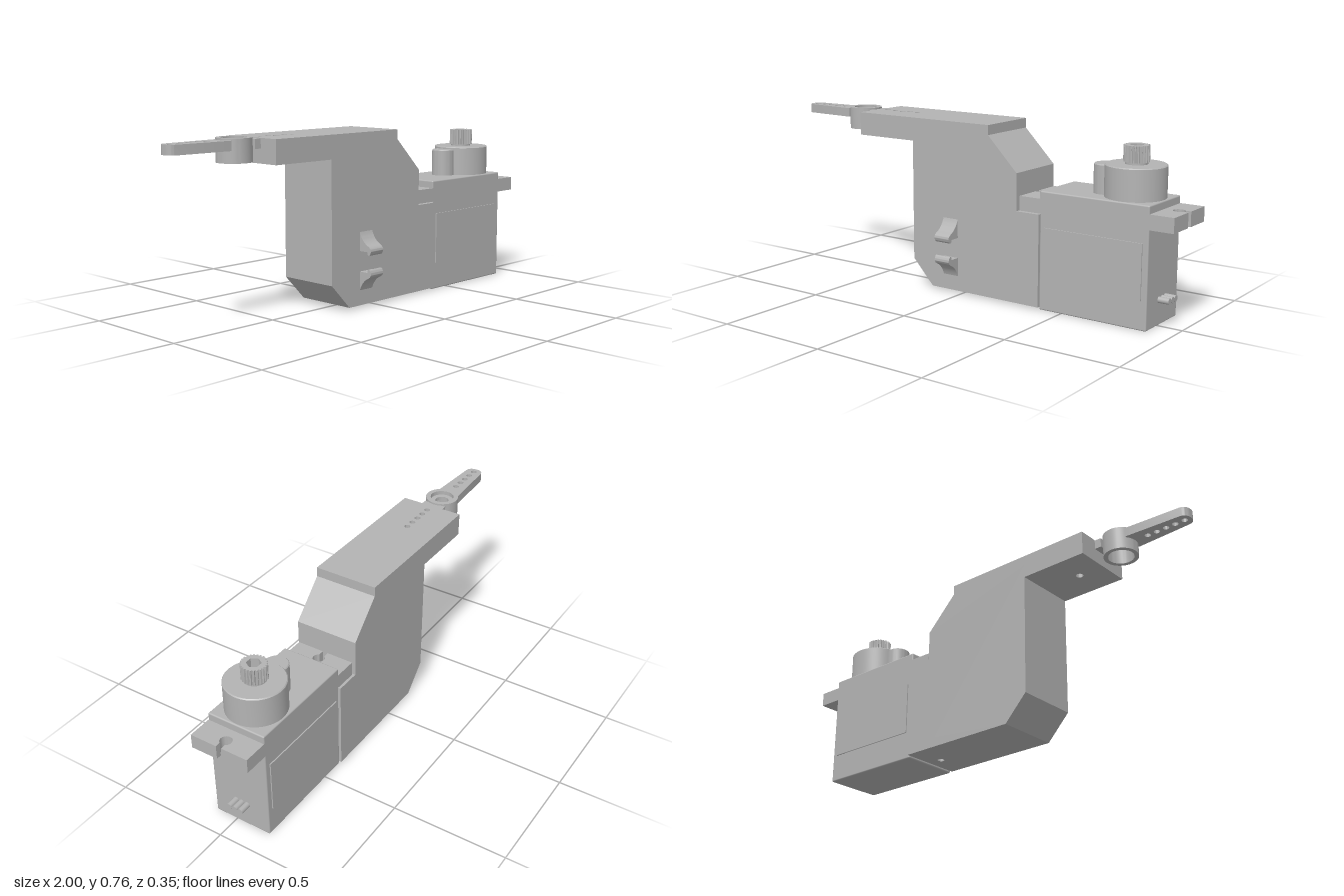
import * as THREE from 'three';
import { toCreasedNormals } from 'three/addons/utils/BufferGeometryUtils.js';
import { RoundedBoxGeometry } from 'three/addons/geometries/RoundedBoxGeometry.js';

export function createModel() {
  const root = new THREE.Group();
  const body = new THREE.Group(); // built symmetric about z = 0, then shifted
  body.name = 'servoAssembly';
  body.position.z = -0.031;
  root.add(body);
  const grey = new THREE.MeshStandardMaterial({ color: 0xb3b3b3 });
  grey.name = 'grey plastic';

  const add = (name, geo, parent = body) => {
    const mesh = new THREE.Mesh(geo, grey);
    mesh.name = name;
    parent.add(mesh);
    return mesh;
  };
  const poly = (pts) => new THREE.Shape(pts.map(([x, y]) => new THREE.Vector2(x, y)));
  const rect = (x0, x1, half) => poly([[x0, -half], [x1, -half], [x1, half], [x0, half]]);
  const drill = (shape, x, r) => {
    shape.holes.push(new THREE.Path().absarc(x, 0, r, 0, Math.PI * 2, true));
    return shape;
  };
  // plan outline raised from y0 to y1
  const slab = (name, shape, y0, y1) => {
    const g = new THREE.ExtrudeGeometry(shape, { depth: y1 - y0, bevelEnabled: false, curveSegments: 20 });
    g.rotateX(-Math.PI / 2).translate(0, y0, 0);
    return add(name, toCreasedNormals(g, 0.6));
  };
  const lathe = (name, pts, x, seg = 48) => {
    const g = new THREE.LatheGeometry(pts.map(([r, y]) => new THREE.Vector2(r, y)), seg);
    return add(name, toCreasedNormals(g.translate(x, 0, 0), 0.6));
  };

  // bracket: side profile plus drilled plates
  const W = 0.141;
  const profile = poly([
    [-0.265, 0.71], [-0.265, 0.12], [-0.16, 0.01], [0.24, 0.01], [0.24, 0.05], [0.395, 0.05],
    [0.395, 0.405], [0.285, 0.405], [0.285, 0.565], [0.14, 0.71],
  ]);
  add('bracketBody', new THREE.ExtrudeGeometry(profile, { depth: 2 * W, bevelEnabled: false }).translate(0, 0, -W));
  slab('bracketFoot', drill(rect(0.24, 0.395, W), 0.33, 0.015), 0.01, 0.05);
  slab('bracketArm', drill(rect(-0.57, -0.265, W), -0.45, 0.016), 0.65, 0.71);
  const top = rect(-0.57, 0.14, W);
  for (let i = 0; i < 5; i++) drill(top, -0.527 + i * 0.0435, 0.013);
  slab('bracketTop', top, 0.71, 0.752);

  // servo horn
  const horn = new THREE.Shape();
  horn.moveTo(-0.72, 0.052);
  horn.lineTo(-0.97, 0.038);
  horn.quadraticCurveTo(-1, 0.034, -1, 0);
  horn.quadraticCurveTo(-1, -0.034, -0.97, -0.038);
  horn.lineTo(-0.72, -0.052);
  for (let i = 0; i < 5; i++) drill(horn, -0.97 + i * 0.0435, 0.013);
  slab('hornArm', horn, 0.71, 0.75);
  slab('hornRoot', rect(-0.6, -0.57, 0.052), 0.71, 0.75);
  lathe('hornHub', [
    [0.03, 0.725], [0.055, 0.725], [0.055, 0.66], [0.073, 0.66], [0.073, 0.758],
    [0.052, 0.758], [0.052, 0.74], [0.03, 0.74], [0.03, 0.725],
  ], -0.663);

  // servo case with raised side labels
  const S = 0.1315;
  add('servoCase', new RoundedBoxGeometry(0.497, 0.503, 2 * S, 2, 0.006).translate(0.6435, 0.2515, 0));
  for (const s of [-1, 1]) {
    add('sideLabel', new THREE.BoxGeometry(0.45, 0.23, 0.005).translate(0.642, 0.237, s * (S + 0.0025)));
  }

  // mounting tabs, each with a keyhole slot open at its outer end
  const tab = (inner, outer, hole) => {
    const d = Math.sign(outer - inner), r = 0.025, w = 0.012;
    const a = Math.asin(w / r);
    const pts = [[inner, S], [outer, S], [outer, w]];
    for (let i = 0; i <= 20; i++) {
      const t = a + (i / 20) * (2 * Math.PI - 2 * a);
      pts.push([hole + d * r * Math.cos(t), r * Math.sin(t)]);
    }
    pts.push([outer, -w], [outer, -S], [inner, -S]);
    slab('mountingTab', poly(pts), 0.408, 0.47);
  };
  tab(0.41, 0.295, 0.343);
  tab(0.88, 0.997, 0.952);

  // gear housing and output shaft
  lathe('gearHousing', [[0, 0.5], [0.125, 0.5], [0.125, 0.631], [0.121, 0.635], [0, 0.635]], 0.76, 64);
  lathe('idlerHousing', [[0, 0.5], [0.052, 0.5], [0.052, 0.621], [0.048, 0.625], [0, 0.625]], 0.627);
  lathe('shaftNeck', [[0, 0.63], [0.046, 0.63], [0.046, 0.65], [0, 0.65]], 0.76);
  const teeth = [], N = 24;
  for (let i = 0; i < N; i++) {
    [[0, 0.047], [0.25, 0.053], [0.55, 0.053], [0.8, 0.047]].forEach(([f, r]) => {
      const t = ((i + f) / N) * Math.PI * 2;
      teeth.push([0.76 + r * Math.cos(t), r * Math.sin(t)]);
    });
  }
  const spline = poly(teeth);
  const hex = [];
  for (let i = 0; i < 6; i++) {
    const t = (-i * Math.PI) / 3;
    hex.push(new THREE.Vector2(0.76 + 0.03 * Math.cos(t), 0.03 * Math.sin(t)));
  }
  spline.holes.push(new THREE.Path(hex));
  slab('outputSpline', spline, 0.643, 0.711);

  // three wire ends
  for (const z of [-0.027, 0, 0.027]) {
    add('wire', new THREE.CylinderGeometry(0.013, 0.013, 0.06, 20).rotateZ(Math.PI / 2).translate(0.91, 0.107, z));
  }

  // pair of facing cable hooks on the front
  for (const s of [1, -1]) {
    const y = (v) => 0.2025 + s * v;
    const hook = new THREE.Shape();
    hook.moveTo(0.136, y(0.0445));
    hook.lineTo(0.136, y(0.142));
    hook.quadraticCurveTo(0.15, y(0.09), 0.185, y(0.072));
    hook.quadraticCurveTo(0.206, y(0.062), 0.206, y(0.05));
    hook.quadraticCurveTo(0.204, y(0.036), 0.195, y(0.03));
    hook.quadraticCurveTo(0.185, y(0.029), 0.186, y(0.0445));
    const g = new THREE.ExtrudeGeometry(hook, { depth: 0.077, bevelEnabled: false, curveSegments: 10 });
    add('cableHook', toCreasedNormals(g.rotateY(-Math.PI / 2).translate(-0.02, 0, 0), 0.6));
  }
  return root;
}
